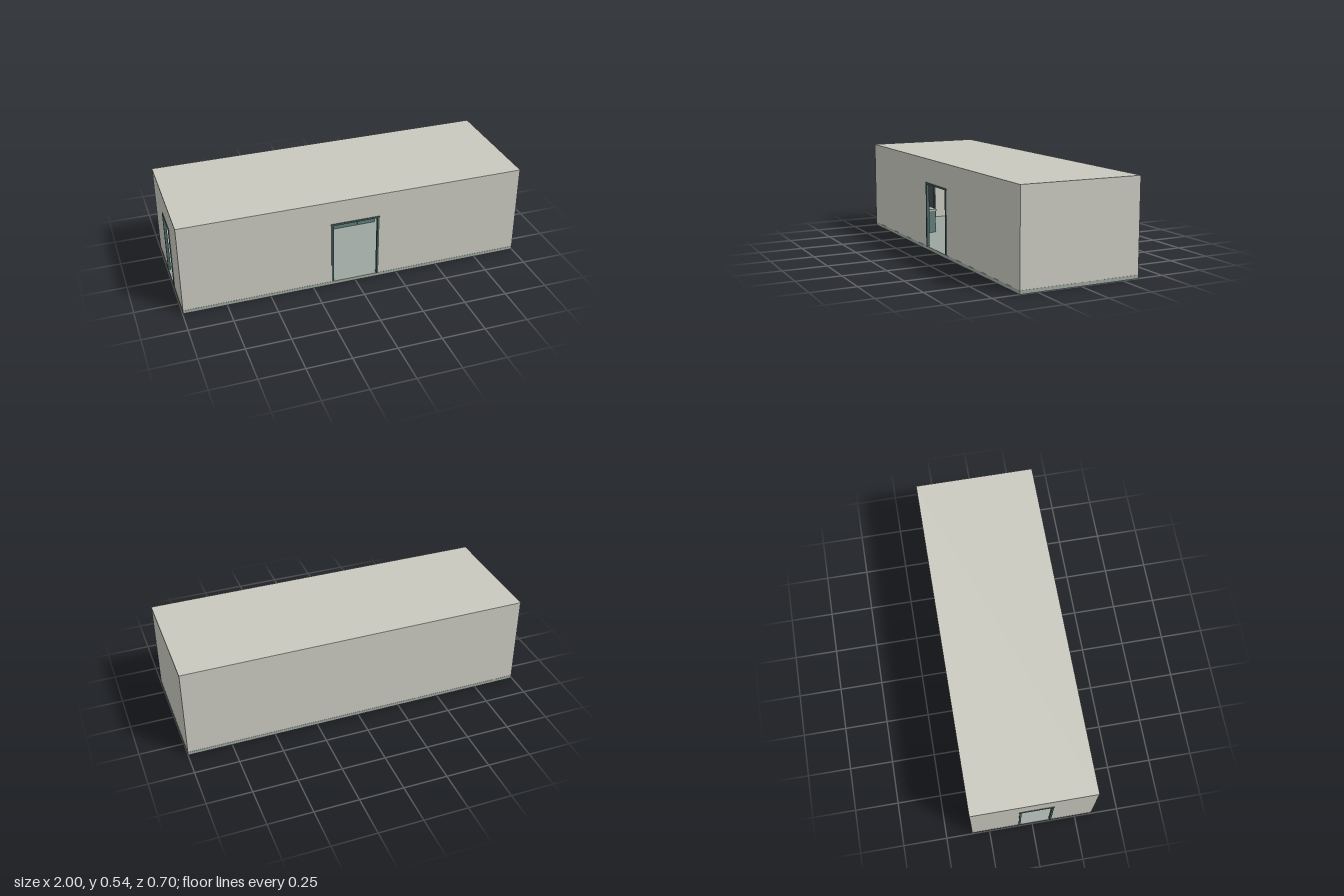
import * as THREE from 'three';

const mat = (name, color) => {
  const m = new THREE.MeshStandardMaterial({ color });
  m.name = name;
  return m;
};

export function createModel() {
  const wall = mat('warm grey panel', 0xc8c8be);
  const floor = mat('grey green floor', 0x9ba59e);
  const teal = mat('teal cabinet', 0x607d79);
  const frame = mat('dark teal frame', 0x46625f);
  const top = mat('pale worktop', 0xb0b8b0);
  const dark = mat('dark fittings', 0x2c3838);
  const paper = mat('off white', 0xdcded6);

  const model = new THREE.Group();
  model.name = 'cabinRoom';

  // Box given by its lower and upper limits on each axis
  const box = (parent, name, m, x0, x1, y0, y1, z0, z1) => {
    const mesh = new THREE.Mesh(new THREE.BoxGeometry(x1 - x0, y1 - y0, z1 - z0), m);
    mesh.position.set((x0 + x1) / 2, (y0 + y1) / 2, (z0 + z1) / 2);
    mesh.name = name;
    parent.add(mesh);
    return mesh;
  };
  const group = (name) => {
    const g = new THREE.Group();
    g.name = name;
    model.add(g);
    return g;
  };

  // Shell: floor, roof and four walls with two doorways
  const X0 = -0.997, X1 = 1, Z0 = -0.351, Z1 = 0.349, F = 0.02, H = 0.53, T = 0.01;
  const shell = group('shell');
  box(shell, 'floorSlab', floor, X0, X1, 0, F, Z0, Z1);
  box(shell, 'roof', wall, X0, X1, H, 0.54, Z0, Z1);
  const wx0 = X0 + 0.001, wx1 = X1 - 0.001, wz0 = Z0 + 0.001, wz1 = Z1 - 0.001;
  const D = 0.395; // doorway height
  box(shell, 'backWall', wall, wx0, wx1, F, H, wz0, wz0 + T);
  box(shell, 'frontWallA', wall, wx0, -0.137, F, H, wz1 - T, wz1);
  box(shell, 'frontWallB', wall, 0.132, wx1, F, H, wz1 - T, wz1);
  box(shell, 'frontHeader', wall, -0.137, 0.132, D, H, wz1 - T, wz1);
  const ez0 = wz0 + T, ez1 = wz1 - T;
  box(shell, 'plainEndWall', wall, wx1 - T, wx1, F, H, ez0, ez1);
  box(shell, 'doorEndWallA', wall, wx0, wx0 + T, F, H, ez0, -0.075);
  box(shell, 'doorEndWallB', wall, wx0, wx0 + T, F, H, 0.105, ez1);
  box(shell, 'doorEndHeader', wall, wx0, wx0 + T, D, H, -0.075, 0.105);

  // Door frames
  const frontFrame = group('frontDoorFrame');
  box(frontFrame, 'jamb', frame, -0.142, -0.131, F, 0.39, 0.335, 0.352);
  box(frontFrame, 'jamb', frame, 0.127, 0.138, F, 0.39, 0.335, 0.352);
  box(frontFrame, 'lintel', frame, -0.145, 0.141, 0.39, 0.4, 0.335, 0.352);
  const endFrame = group('endDoorFrame');
  box(endFrame, 'jamb', frame, -1, -0.984, F, 0.39, -0.08, -0.069);
  box(endFrame, 'jamb', frame, -1, -0.984, F, 0.39, 0.099, 0.11);
  box(endFrame, 'lintel', frame, -1, -0.984, 0.39, 0.4, -0.082, 0.112);

  // Drawer fronts and handles on a face looking along +z or -z
  const drawers = (parent, x0, x1, z, dir, rows) => {
    for (let i = 0; i < rows; i++) {
      const h = 0.13 / rows, y = 0.025 + i * h, xm = (x0 + x1) / 2;
      const a = z + dir * 0.004, b = z + dir * 0.008;
      box(parent, 'drawerFront', teal, x0 + 0.004, x1 - 0.004, y, y + h - 0.005,
        Math.min(z, a), Math.max(z, a));
      box(parent, 'handle', dark, xm - 0.02, xm + 0.02, y + h - 0.018, y + h - 0.013,
        Math.min(a, b), Math.max(a, b));
    }
  };
  const monitor = (parent, x, y, z, dir) => {
    box(parent, 'monitorFoot', dark, x - 0.035, x + 0.035, y, y + 0.005, z - 0.02, z + 0.02);
    box(parent, 'monitorStem', dark, x - 0.006, x + 0.006, y, y + 0.03, z - 0.004, z + 0.004);
    box(parent, 'monitorCase', dark, x - 0.056, x + 0.056, y + 0.013, y + 0.083, z - 0.005, z + 0.005);
    box(parent, 'screen', teal, x - 0.052, x + 0.052, y + 0.017, y + 0.079,
      z + dir * 0.006 - 0.001, z + dir * 0.006 + 0.001);
  };

  // Back desk with kneehole, pedestal, monitor and wall cupboard
  const desk = group('backDesk');
  box(desk, 'worktop', top, -0.135, 0.32, 0.163, 0.175, ez0, -0.17);
  box(desk, 'worktopEdge', frame, -0.135, 0.32, 0.155, 0.163, ez0, -0.172);
  box(desk, 'sidePanel', teal, -0.135, -0.112, F, 0.155, ez0, -0.18);
  box(desk, 'kneePanel', teal, -0.112, -0.03, 0.045, 0.155, ez0, -0.32);
  box(desk, 'pedestal', teal, -0.03, 0.32, F, 0.155, ez0, -0.18);
  drawers(desk, -0.03, 0.09, -0.18, 1, 1);
  drawers(desk, 0.09, 0.2, -0.18, 1, 1);
  drawers(desk, 0.2, 0.32, -0.18, 1, 1);
  monitor(desk, 0.06, 0.175, -0.25, 1);
  box(desk, 'wallCupboard', teal, -0.3, 0.32, 0.29, 0.4, ez0, -0.22);

  // Drawer unit standing mid-room beside the front door
  const island = group('drawerUnit');
  box(island, 'cabinet', teal, -0.46, -0.165, F, 0.157, -0.14, 0.06);
  box(island, 'worktop', top, -0.465, -0.16, 0.157, 0.168, -0.145, 0.066);
  drawers(island, -0.31, -0.165, 0.06, 1, 2);
  drawers(island, -0.46, -0.315, 0.06, 1, 2);
  box(island, 'tray', dark, -0.27, -0.2, 0.168, 0.174, -0.06, 0.02);
  box(island, 'paper', paper, -0.265, -0.205, 0.174, 0.177, -0.055, 0.015);

  // Low cupboards along the front wall by the end door
  const counter = group('frontCounter');
  box(counter, 'cabinet', teal, -0.907, -0.5, F, 0.157, 0.135, ez1);
  box(counter, 'worktop', top, -0.912, -0.495, 0.157, 0.168, 0.13, ez1);
  for (let i = 0; i < 3; i++) {
    drawers(counter, -0.907 + i * 0.135, -0.772 + i * 0.135, 0.135, -1, 2);
  }
  monitor(counter, -0.75, 0.168, 0.24, -1);

  return model;
}
